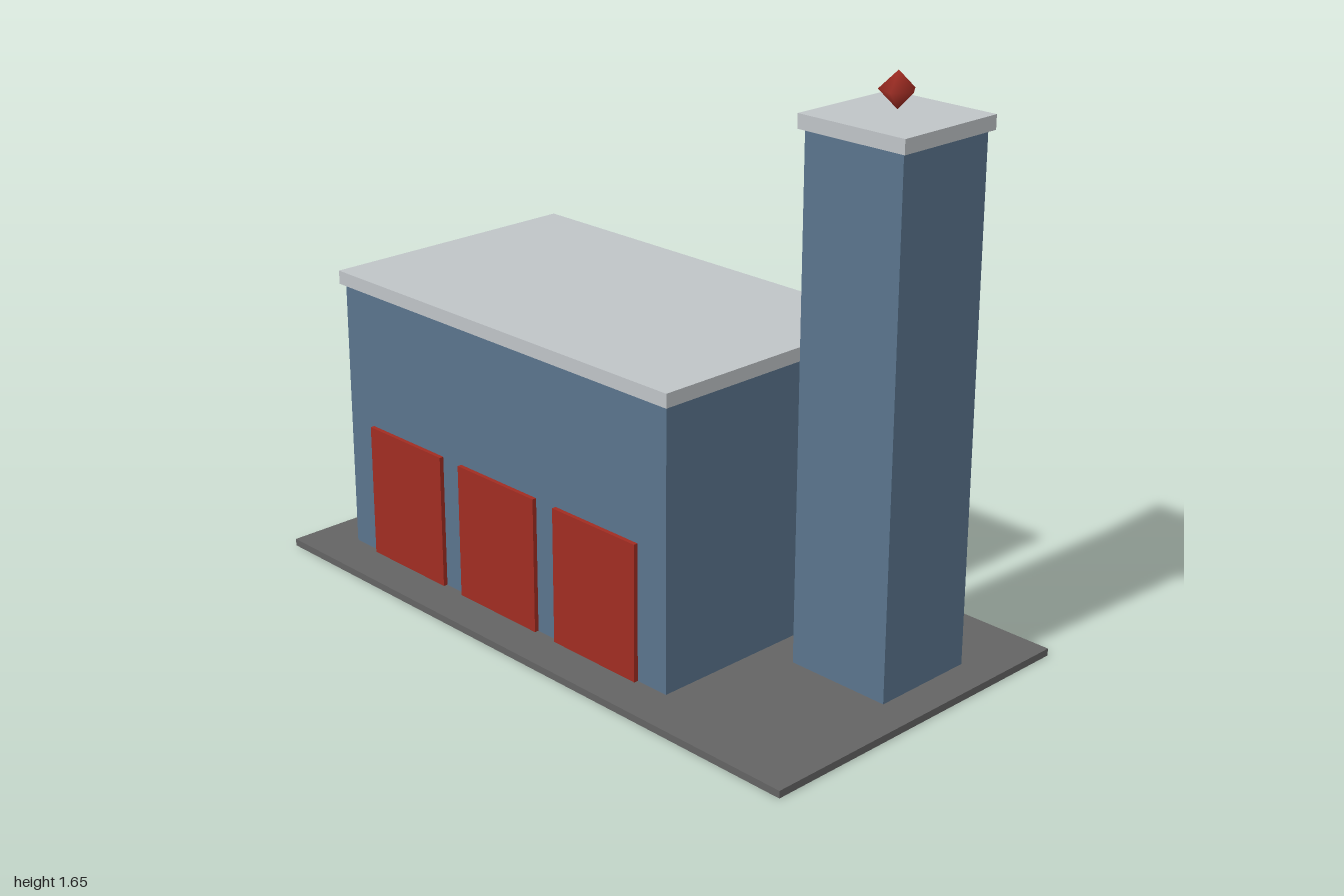
import * as THREE from 'three';

const paint = (name, color) => {
  const m = new THREE.MeshStandardMaterial({ color });
  m.name = name;
  return m;
};

export function createModel() {
  const blue = paint('wallBlue', 0x5a748d);
  const grey = paint('roofGrey', 0xbfc4c7);
  const red = paint('signalRed', 0xa02c22);
  const asphalt = paint('asphalt', 0x646464);

  const model = new THREE.Group();
  model.name = 'fireStation';

  // Box standing on height y
  const box = (name, material, [w, h, d], [x, y, z]) => {
    const mesh = new THREE.Mesh(new THREE.BoxGeometry(w, h, d), material);
    mesh.name = name;
    mesh.position.set(x, y + h / 2, z);
    model.add(mesh);
  };

  // Ground slab
  box('groundSlab', asphalt, [2, 0.021, 1.066], [0, 0, 0]);

  // Main hall with overhanging flat roof
  box('hall', blue, [1.333, 0.814, 0.8], [-0.2, 0.021, 0]);
  box('hallRoof', grey, [1.36, 0.04, 0.827], [-0.2, 0.834, 0]);

  // Three garage doors
  for (const [i, x] of [-0.6, -0.2, 0.2].entries()) {
    box(`garageDoor${i + 1}`, red, [0.32, 0.4, 0.026], [x, 0.021, 0.4]);
  }

  // Tower and its cap
  box('tower', blue, [0.32, 1.48, 0.32], [0.733, 0.021, -0.133]);
  box('towerCap', grey, [0.347, 0.04, 0.347], [0.733, 1.5, -0.133]);

  // Five-sided beacon hovering over the tower
  const beacon = new THREE.Mesh(new THREE.SphereGeometry(0.05, 5, 2), red);
  beacon.name = 'beacon';
  beacon.position.set(0.733, 1.601, -0.133);
  beacon.rotation.y = Math.PI;
  model.add(beacon);

  return model;
}
